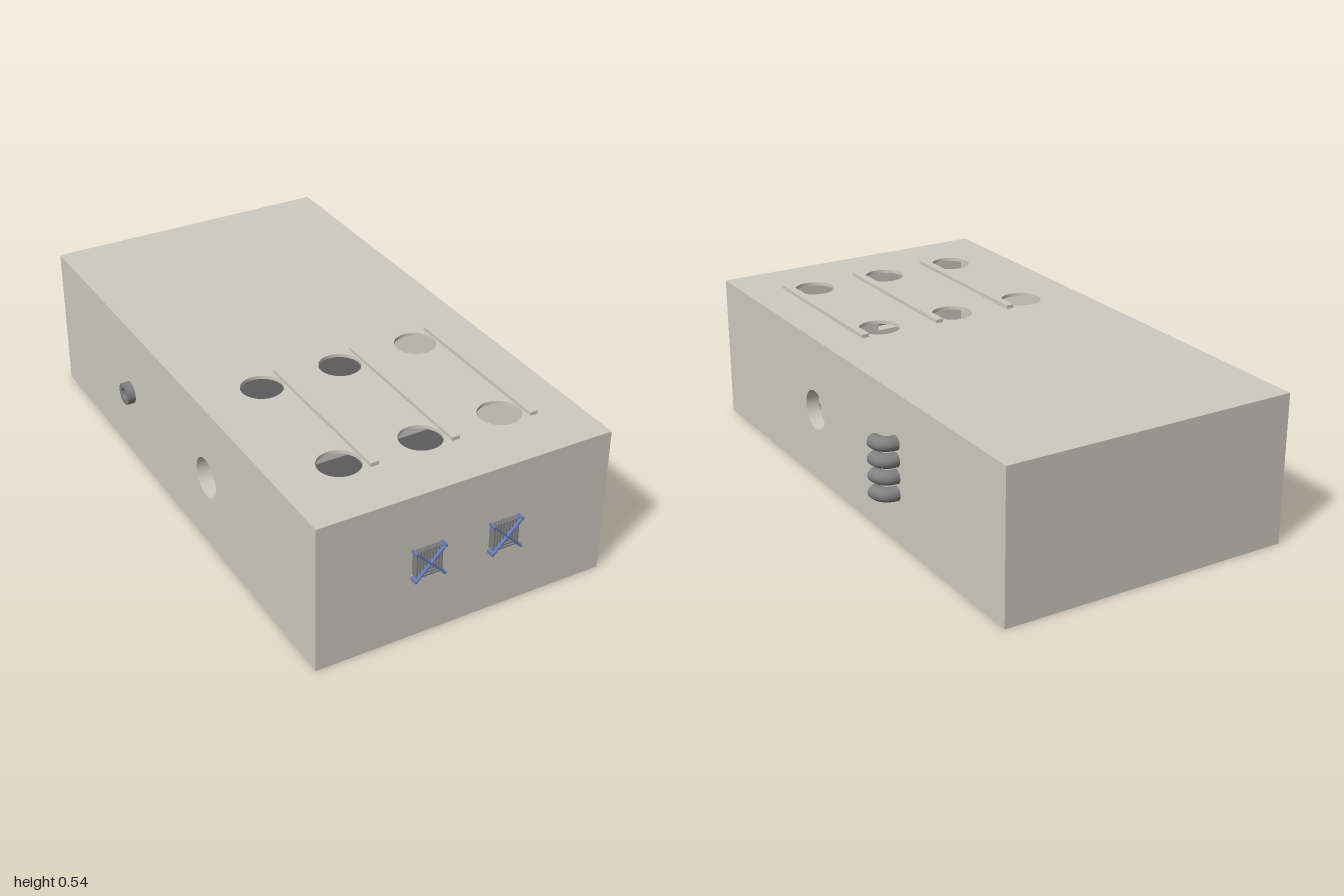
import * as THREE from 'three';

const mat = (color) => new THREE.MeshStandardMaterial({ color });

export function createModel() {
  const root = new THREE.Group();
  const body = mat(0xcdcac0), grey = mat(0xcccccc), dark = mat(0x808080);
  const blue = mat(0x6478b4), orange = mat(0xff9020);

  const add = (name, geo, material, parent = root) => {
    const m = new THREE.Mesh(geo, material);
    m.name = name;
    parent.add(m);
    return m;
  };
  // box given by its min and max on each axis
  const box = (name, [x0, x1], [y0, y1], [z0, z1], material, parent) => {
    const g = new THREE.BoxGeometry(x1 - x0, y1 - y0, z1 - z0);
    g.translate((x0 + x1) / 2, (y0 + y1) / 2, (z0 + z1) / 2);
    return add(name, g, material, parent);
  };
  const rect = (a0, b0, a1, b1, Type = THREE.Shape) => {
    const s = new Type();
    s.moveTo(a0, b0).lineTo(a1, b0).lineTo(a1, b1).lineTo(a0, b1).closePath();
    return s;
  };
  const circle = (a, b, r) => new THREE.Path().absarc(a, b, r, 0, Math.PI * 2);
  const panel = (shape, holes, depth) => {
    shape.holes.push(...holes);
    return new THREE.ExtrudeGeometry(shape, { depth, bevelEnabled: false, curveSegments: 32 });
  };

  // case: open underneath, with a thin lid
  const T = 0.05, LID = 0.012, X0 = -0.555, X1 = 0.502, Z0 = -1, Z1 = 0.972, H = 0.53;
  const holeR = 0.072;
  const holes = [];
  for (const x of [-0.33, -0.038, 0.257]) for (const z of [0.207, 0.712]) holes.push(circle(x, z, holeR));
  add('topPanel', panel(rect(X0, Z0, X1, Z1), holes, LID).rotateX(Math.PI / 2).translate(0, H, 0), body);
  for (const [name, x] of [['leftWall', X1], ['rightWall', X0 + T]]) {
    const g = panel(rect(Z0 + T, 0, Z1 - T, H - LID), [circle(0.233, 0.262, holeR)], T);
    add(name, g.rotateY(-Math.PI / 2).translate(x, 0, 0), body);
  }
  box('backWall', [X0, X1], [0, H - LID], [Z0, Z0 + T], body);
  const ventX = [-0.17, 0.11], ventY = 0.28, v = 0.052;
  const ventHoles = ventX.map((x) => rect(x - v, ventY - v, x + v, ventY + v, THREE.Path));
  add('frontWall', panel(rect(X0, 0, X1, H - LID), ventHoles, T).translate(0, 0, Z1 - T), body);

  // raised rails on top
  for (const x of [-0.241, 0.052, 0.346]) {
    box('topRail', [x - 0.014, x + 0.014], [H, H + 0.013], [0.14, 0.775], body);
  }

  // front vents: upright fins above, level slats below, crossed braces
  for (const x of ventX) {
    const vent = new THREE.Group();
    vent.name = 'frontVent';
    vent.position.set(x, ventY, 0);
    root.add(vent);
    for (let i = 0; i < 9; i++) {
      const p = -0.044 + i * 0.011;
      box('fin', [p - 0.0025, p + 0.0025], [-Math.abs(p), v], [0.955, 0.99], dark, vent);
      if (p < 0) box('slat', [p, -p], [p - 0.0025, p + 0.0025], [0.955, 0.99], dark, vent);
    }
    for (const s of [-1, 1]) {
      const brace = add('crossBrace', new THREE.BoxGeometry(0.147, 0.005, 0.03), blue, vent);
      brace.rotation.z = s * Math.PI / 4;
      brace.position.z = 0.985;
      for (const t of [-1, 1]) {
        box('cornerPost', [s * v - 0.004, s * v + 0.004], [t * v - 0.004, t * v + 0.004], [0.93, 1], blue, vent);
      }
    }
  }

  // four pipes through the left wall, bent at both ends
  const point = (x, z) => new THREE.Vector3(x, 0, z);
  const bend = new THREE.CurvePath();
  bend.add(new THREE.QuadraticBezierCurve3(point(0.08, -0.43), point(0.08, -0.35), point(0.16, -0.35)));
  bend.add(new THREE.LineCurve3(point(0.16, -0.35), point(0.507, -0.35)));
  bend.add(new THREE.QuadraticBezierCurve3(point(0.507, -0.35), point(0.555, -0.35), point(0.555, -0.298)));
  for (const y of [0.18, 0.24, 0.299, 0.358]) {
    add('bentPipe', new THREE.TubeGeometry(bend, 64, 0.0255, 20), dark).position.y = y;
    add('pipeEnd', new THREE.CircleGeometry(0.0255, 20), dark).position.set(0.555, y, -0.298);
  }

  // short hollow pipe through the right wall
  const ring = new THREE.Shape().absarc(0, 0, 0.04, 0, Math.PI * 2);
  const socket = panel(ring, [circle(0, 0, 0.022)], 0.12);
  add('sidePipe', socket.rotateY(-Math.PI / 2).translate(-0.463, 0.263, -0.378), dark);

  // inside: rectangular frame open above and below
  const frame = panel(rect(-0.5, 0.112, 0.447, 0.322), [rect(-0.475, 0.132, 0.422, 0.302, THREE.Path)], 0.2);
  add('innerFrame', frame.rotateX(Math.PI / 2).translate(0, 0.35, 0), grey);

  // inside: cross plates with a rod in front of each
  for (const z of [-0.31, 0.305]) {
    box('crossPlate', [-0.505, 0.452], [0.005, 0.25], [z, z + 0.02], dark);
    const rod = new THREE.CylinderGeometry(0.025, 0.025, 0.955, 20).rotateZ(Math.PI / 2);
    add('crossRod', rod, dark).position.set(-0.0275, 0.13, z + 0.215);
  }

  // inside: orange tray with a hanging lip
  box('orangeTray', [-0.505, 0.05], [0.15, 0.175], [-0.68, -0.46], orange);
  box('orangeLip', [-0.505, 0.05], [0.12, 0.25], [-0.46, -0.42], orange);

  return root;
}
